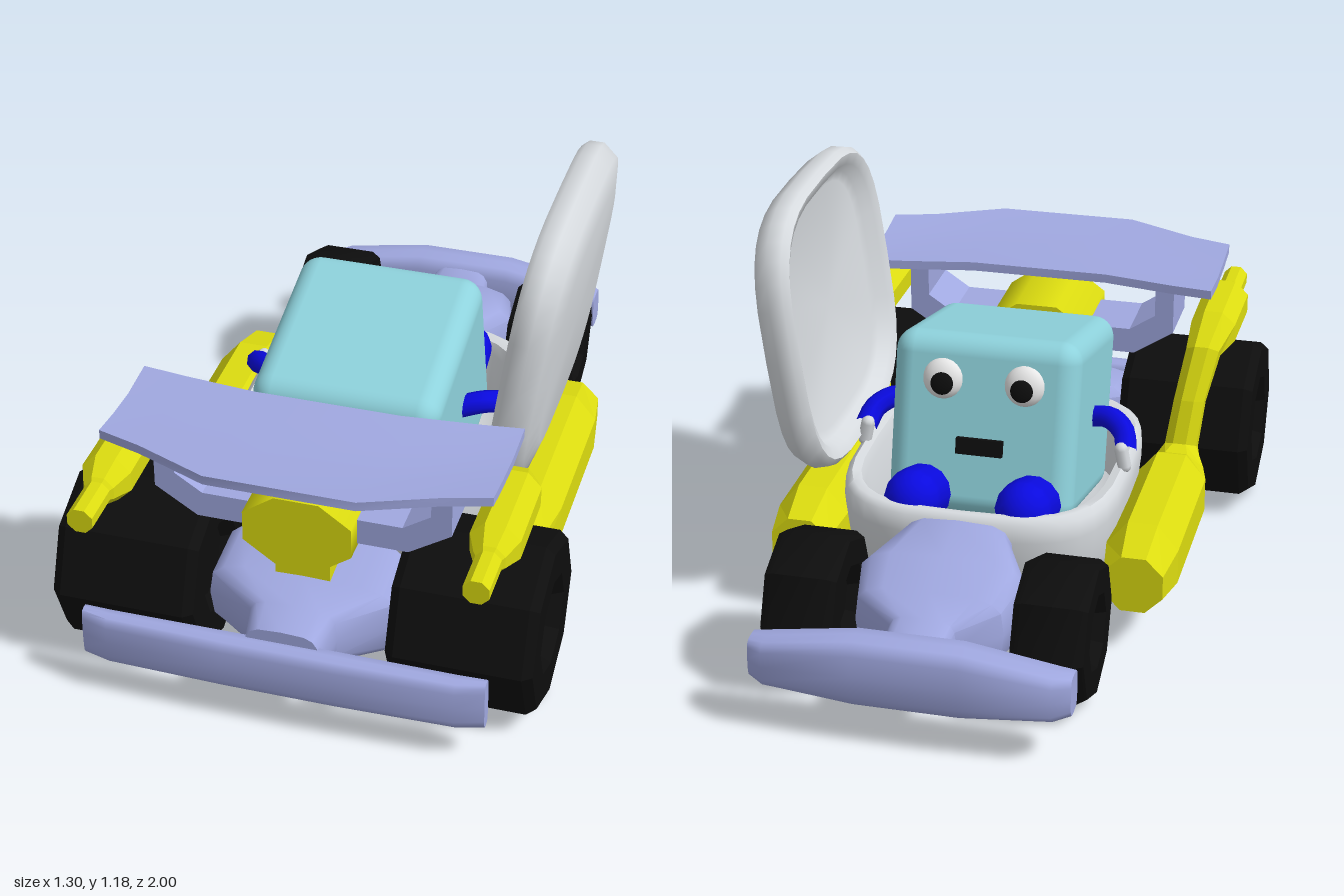
import * as THREE from 'three';
import { toCreasedNormals } from 'three/addons/utils/BufferGeometryUtils.js';
import { RoundedBoxGeometry } from 'three/addons/geometries/RoundedBoxGeometry.js';

const mat = (name, color) => Object.assign(new THREE.MeshStandardMaterial({ color }), { name });

// Point on a rounded rectangle of half size 1
function squarish(a, e) {
  const f = (v) => Math.sign(v) * Math.pow(Math.abs(v), 2 / e);
  return [f(Math.cos(a)), f(Math.sin(a))];
}

const loop = (n, fn) => Array.from({ length: n }, (_, i) => fn((i / n) * Math.PI * 2));

// Skin a list of closed rings and close both ends at their centres
function loft(rings, crease) {
  const centre = (ring) => ring.map(() => [0, 1, 2].map((k) => ring.reduce((s, p) => s + p[k], 0) / ring.length));
  const all = [centre(rings[0]), ...rings, centre(rings[rings.length - 1])];
  const n = rings[0].length;
  const index = [];
  for (let j = 0; j < all.length - 1; j++) {
    for (let i = 0; i < n; i++) {
      const a = j * n + i, b = j * n + ((i + 1) % n);
      if (j < all.length - 2) index.push(a, a + n, b + n);
      if (j > 0) index.push(a, b + n, b);
    }
  }
  const g = new THREE.BufferGeometry();
  g.setAttribute('position', new THREE.Float32BufferAttribute(all.flat(2), 3));
  g.setIndex(index);
  return toCreasedNormals(g, crease);
}

// Bowl from [scale, height] pairs
const bowl = (hx, hz, profile) => loft(profile.map(([s, y]) => loop(32, (a) => {
  const [c, d] = squarish(a, 3.4);
  return [c * hx * s, y, d * hz * s];
})), 0.9);

// Body along z from [z, halfWidth, bottom, top]
const hull = (rows) => loft(rows.map(([z, w, y0, y1]) => loop(16, (a) => {
  const [c, s] = squarish(-a, 4);
  return [c * w, (y0 + y1) / 2 + (s * (y1 - y0)) / 2, z];
})), 0.9);

// Bar along x from [x, zBack, zFront, bottom, top]
const bar = (rows) => loft(rows.map(([x, z0, z1, y0, y1]) => loop(16, (a) => {
  const [c, s] = squarish(a, 4);
  return [x, (y0 + y1) / 2 + (s * (y1 - y0)) / 2, (z0 + z1) / 2 + (c * (z1 - z0)) / 2];
})), 0.9);

const mirrorRows = (rows) => [...rows.map(([x, ...r]) => [-x, ...r]), ...rows.slice().reverse()];

// Eight-sided pipe from [x, y, z, radius]
function pipe(path, side) {
  return loft(path.map(([x, y, z, r], i) => {
    const p = path[Math.max(i - 1, 0)], q = path[Math.min(i + 1, path.length - 1)];
    const len = Math.hypot(q[1] - p[1], q[2] - p[2]);
    const ty = (q[1] - p[1]) / len, tz = (q[2] - p[2]) / len;
    return loop(8, (a) => {
      const c = Math.cos(a + Math.PI / 8) * Math.min(r, 0.108), s = -Math.sin(a + Math.PI / 8) * r;
      return [side * x + c, y + s * tz, z - s * ty];
    });
  }), 0.05);
}

// Eight-sided tyre with a recessed hub
function tyre(r, w) {
  const h = w / 2;
  const pts = [[0, -h + 0.04], [r * 0.45, -h + 0.04], [r * 0.55, -h], [r * 0.92, -h], [r, -h + 0.025],
    [r, h - 0.025], [r * 0.92, h], [r * 0.55, h], [r * 0.45, h - 0.04], [0, h - 0.04]];
  const g = new THREE.LatheGeometry(pts.map(([x, y]) => new THREE.Vector2(x, y)), 8);
  return toCreasedNormals(g.rotateZ(Math.PI / 2), 0.6);
}

export function createModel() {
  const model = new THREE.Group();
  model.name = 'openCockpitKart';
  const lavender = mat('lavender', 0xa0a8e0), white = mat('shellWhite', 0xd6dade), yellow = mat('yellow', 0xdcdc10);
  const cyan = mat('cyan', 0x8ed2dc), blue = mat('blue', 0x0a0ae0), black = mat('black', 0x0d0d0d);
  const eyeWhite = mat('eyeWhite', 0xf0f0f0);
  const add = (name, geometry, material, pos = [0, 0, 0], parent = model) => {
    const m = new THREE.Mesh(geometry, material);
    m.name = name;
    m.position.set(...pos);
    parent.add(m);
    return m;
  };

  // Cockpit tub and its opened lid
  add('cockpitTub', bowl(0.39, 0.44, [[0.6, 0.06], [0.8, 0.085], [0.92, 0.14], [0.97, 0.22], [1, 0.33], [0.99, 0.38],
    [0.95, 0.395], [0.89, 0.39], [0.86, 0.36], [0.82, 0.2], [0.7, 0.17]]), white);
  const lid = add('cockpitLid', bowl(0.4, 0.44, [[0.78, 0.04], [0.84, 0.03], [0.88, 0], [0.95, -0.012], [0.99, 0.005],
    [1, 0.045], [0.94, 0.088], [0.75, 0.106]]), white, [0.445, 0.785, 0.005]);
  lid.rotation.z = -Math.PI / 2 - 0.14;

  // Chassis at both ends
  add('noseBody', hull([[-0.92, 0.085, 0.13, 0.28], [-0.81, 0.09, 0.13, 0.29], [-0.74, 0.2, 0.12, 0.33],
    [-0.6, 0.23, 0.11, 0.36], [-0.45, 0.155, 0.11, 0.385], [-0.38, 0.15, 0.12, 0.37]]), lavender);
  add('tailBody', hull([[0.36, 0.13, 0.12, 0.35], [0.52, 0.13, 0.11, 0.355], [0.6, 0.26, 0.11, 0.35],
    [0.76, 0.26, 0.11, 0.33], [0.85, 0.12, 0.12, 0.3], [0.95, 0.1, 0.12, 0.29]]), lavender);
  add('noseBumper', bar(mirrorRows([[0.425, -0.96, -0.88, 0.14, 0.25], [0.38, -0.99, -0.88, 0.13, 0.26],
    [0.14, -1, -0.88, 0.11, 0.3]])), lavender);
  add('tailBumper', bar(mirrorRows([[0.545, 0.925, 0.965, 0.105, 0.25], [0.47, 0.925, 0.99, 0.105, 0.252],
    [0.15, 0.925, 1, 0.105, 0.255]])), lavender);

  // Wing: thin curved sections across x from [x, leading z, trailing z, lift]
  const wingRows = mirrorRows([[0.52, 0.49, 0.82, 0], [0.4, 0.505, 0.855, 0], [0.2, 0.53, 0.94, 0.005]]);
  add('rearWing', loft(wingRows.map(([x, z0, z1, lift]) => {
    const curve = [[1, 0.737], [0.7, 0.722], [0.35, 0.712], [0, 0.72]];
    const pt = ([t, y], drop) => [x, y + lift - drop, z0 + (z1 - z0) * t];
    return [...curve.map((p) => pt(p, 0)), ...curve.reverse().map((p) => pt(p, 0.026))];
  }), 0.7), lavender);

  // Wing strut: one bent bracket
  const half = [[0.4, 0.705], [0.4, 0.545], [0.285, 0.47], [0, 0.47]];
  const inner = [[0.27, 0.545], [0.345, 0.595], [0.345, 0.705]];
  const flip = (pts) => pts.map(([x, y]) => [-x, y]).reverse();
  const outline = [...half, ...flip(half.slice(0, 3)), ...flip(inner), ...inner];
  const bracket = new THREE.Shape(outline.map((p) => new THREE.Vector2(...p)));
  add('wingStrut', new THREE.ExtrudeGeometry(bracket, { depth: 0.2, bevelEnabled: false }), lavender, [0, 0, 0.56]);

  // Engine barrel on its stem
  const barrel = new THREE.CylinderGeometry(1, 1, 0.3, 8).rotateY(Math.PI / 8).rotateX(Math.PI / 2);
  barrel.scale(0.158, 0.114, 1);
  add('engine', barrel, yellow, [0.003, 0.506, 0.665]);
  add('engineStem', new THREE.BoxGeometry(0.15, 0.12, 0.2), yellow, [0, 0.37, 0.66]);

  for (const side of [1, -1]) {
    // Wheels
    add('rearWheel', tyre(0.245, 0.39), black, [side * 0.456, 0.245, 0.668]);
    add('frontWheel', tyre(0.197, 0.195), black, [side * 0.333, 0.22, -0.653]);

    // Side pod running into the exhaust
    add('exhaust', pipe([[0.468, 0.21, -0.37, 0.088], [0.468, 0.21, -0.24, 0.13], [0.468, 0.21, 0.2, 0.13],
      [0.465, 0.21, 0.32, 0.085], [0.465, 0.27, 0.385, 0.05], [0.48, 0.4, 0.42, 0.048], [0.505, 0.53, 0.48, 0.052],
      [0.52, 0.565, 0.56, 0.07], [0.52, 0.565, 0.79, 0.072], [0.52, 0.565, 0.85, 0.045], [0.52, 0.565, 0.86, 0.037],
      [0.52, 0.565, 0.985, 0.037]], side), yellow);

    // Driver's arms, hands and legs
    const arm = new THREE.CatmullRomCurve3([[0.24, 0.47, 0.1], [0.31, 0.485, 0.075], [0.36, 0.465, 0.03],
      [0.375, 0.43, -0.02]].map(([x, y, z]) => new THREE.Vector3(side * x, y, z)));
    add('arm', new THREE.TubeGeometry(arm, 10, 0.032, 8), blue);
    const hand = add('hand', new THREE.CapsuleGeometry(0.02, 0.05, 3, 8), white, [side * 0.37, 0.42, -0.035]);
    hand.rotation.z = side * 0.2;
    const leg = add('leg', new THREE.CapsuleGeometry(0.08, 0.14, 5, 14), blue, [side * 0.155, 0.355, -0.255]);
    leg.rotation.x = -1.25;
  }

  // Driver: a rounded block leaning back, with a face on its -z side
  const driver = new THREE.Group();
  driver.name = 'driver';
  driver.position.set(0, 0.468, 0.09);
  driver.rotation.x = 0.24;
  model.add(driver);
  add('driverBody', new RoundedBoxGeometry(0.525, 0.51, 0.55, 4, 0.06), cyan, [0, 0, 0], driver);
  for (const side of [1, -1]) {
    const eye = add('eye', new THREE.SphereGeometry(0.058, 18, 12), eyeWhite, [side * 0.115, 0.13, -0.268], driver);
    eye.scale.z = 0.6;
    const pupil = add('pupil', new THREE.SphereGeometry(0.032, 14, 10), black, [side * 0.112, 0.12, -0.298], driver);
    pupil.scale.z = 0.4;
  }
  add('mouth', new THREE.BoxGeometry(0.13, 0.045, 0.04), black, [0, -0.05, -0.275], driver);
  return model;
}
